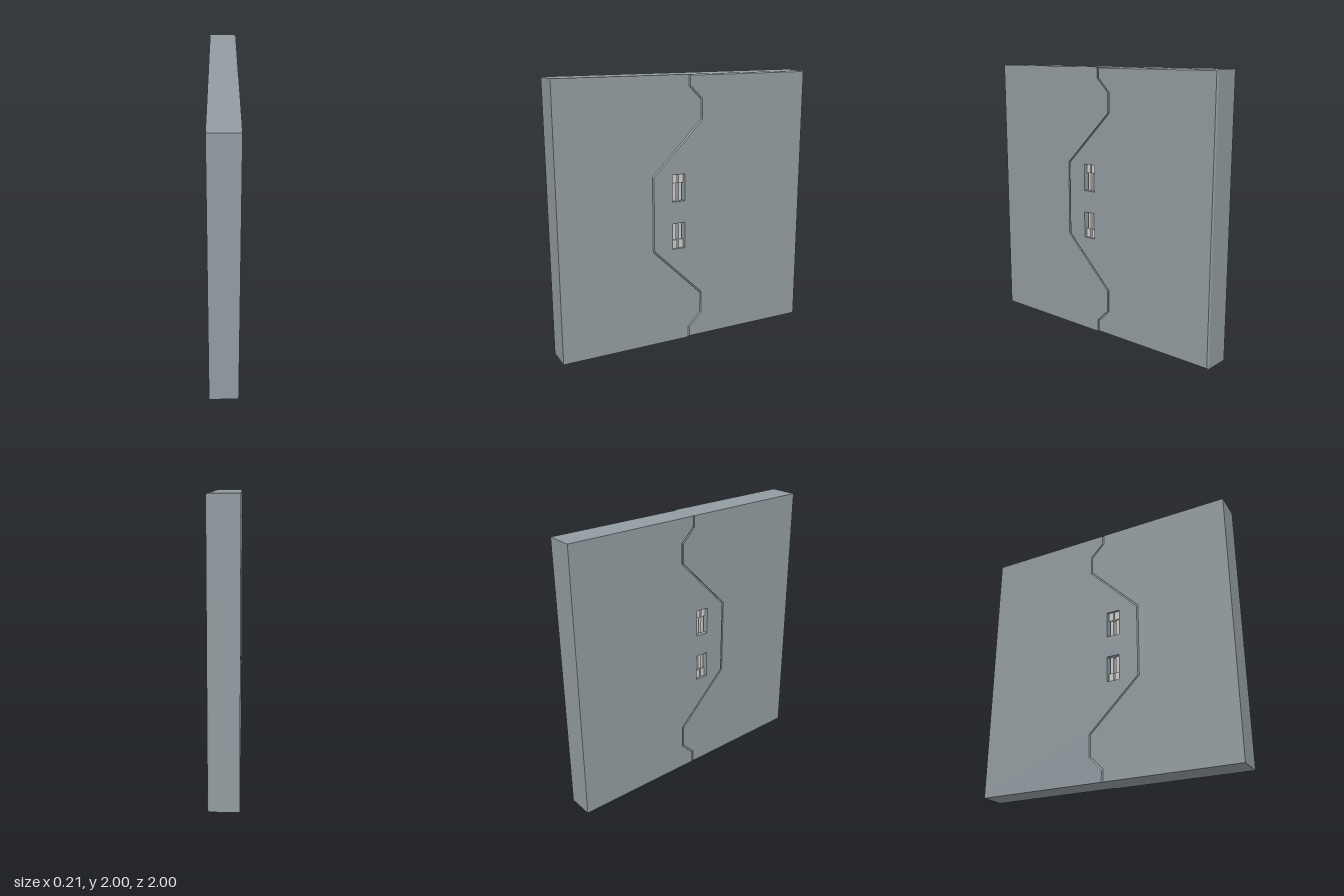
import * as THREE from 'three';
import { mergeGeometries } from 'three/addons/utils/BufferGeometryUtils.js';

const HALF = 0.103;   // half the door thickness
const BEVEL = 0.012;  // seam groove size

// Outlines use u = -z and v = y; depth becomes x after a quarter turn.
const seam = [[0, 0], [0, 0.09], [0.1, 0.19], [0.1, 0.35], [-0.29, 0.73],
  [-0.29, 1.29], [0.1, 1.68], [0.1, 1.82], [0, 1.92], [0, 2]];
const slots = [{ low: 0.73, high: 0.925, step: -1 }, { low: 1.09, high: 1.29, step: 1 }];
const SLOT_U = -0.08, SLOT_W = 0.1;

const toVectors = (list) => list.map(([u, v]) => new THREE.Vector2(u, v));

// Move each edge of a counter-clockwise outline inward by its own distance.
function inset(points, distance) {
  const n = points.length;
  const edges = points.map((p, i) => {
    const dir = points[(i + 1) % n].clone().sub(p).normalize();
    const normal = new THREE.Vector2(-dir.y, dir.x);
    return { dir, start: p.clone().addScaledVector(normal, distance(i)) };
  });
  return points.map((_, i) => {
    const a = edges[(i + n - 1) % n], b = edges[i];
    const t = b.start.clone().sub(a.start).cross(b.dir) / a.dir.cross(b.dir);
    return a.start.clone().addScaledVector(a.dir, t);
  });
}

// Flat-shaded band joining two outlines at different depths.
function band(a, da, b, db) {
  const pos = [];
  a.forEach((p, i) => {
    const j = (i + 1) % a.length;
    pos.push(p.x, p.y, da, a[j].x, a[j].y, da, b[j].x, b[j].y, db,
      p.x, p.y, da, b[j].x, b[j].y, db, b[i].x, b[i].y, db);
  });
  const g = new THREE.BufferGeometry();
  g.setAttribute('position', new THREE.Float32BufferAttribute(pos, 3));
  g.computeVertexNormals();
  return g;
}

function cap(points, holes, depth, flip) {
  const shape = new THREE.Shape(points);
  holes.forEach((h) => shape.holes.push(new THREE.Path(h)));
  let g = new THREE.ShapeGeometry(shape);
  g.deleteAttribute('uv');
  if (flip) {
    g.index.array.reverse();
    g.computeVertexNormals();
  }
  g = g.toNonIndexed();
  return g.translate(0, 0, depth);
}

// Door leaf made of stacked outlines, with holes cut straight through.
function leafGeometry(layers, holes) {
  const first = layers[0], last = layers[layers.length - 1];
  const parts = [cap(first.points, holes, first.depth, true), cap(last.points, holes, last.depth, false)];
  for (let i = 1; i < layers.length; i++) {
    const a = layers[i - 1], b = layers[i];
    parts.push(band(a.points, a.depth, b.points, b.depth));
  }
  holes.forEach((h) => parts.push(band(h, -HALF, h, HALF)));
  return mergeGeometries(parts).rotateY(Math.PI / 2);
}

export function createModel() {
  const door = new THREE.Group();
  door.name = 'slidingDoor';
  const panel = new THREE.MeshStandardMaterial({ color: 0x929ba0 });
  const grey = new THREE.MeshStandardMaterial({ color: 0xcccccc });

  const add = (parent, name, geometry, material) => {
    const mesh = new THREE.Mesh(geometry, material);
    mesh.name = name;
    parent.add(mesh);
    return mesh;
  };

  // Front leaf: plain slab up to the seam
  const front = toVectors([[-1, 2], [-1, 0], ...seam]);
  add(door, 'frontLeaf', leafGeometry(
    [{ points: front, depth: -HALF }, { points: front, depth: HALF }], []), panel);

  // Back leaf: bevelled all round on +x, only along the seam on -x
  const back = toVectors([[1, 0], [1, 2], ...seam.slice().reverse()]);
  const isSeam = (i) => i >= 2 && i < back.length - 1;
  const seamOnly = inset(back, (i) => (isSeam(i) ? BEVEL : 0));
  const allRound = inset(back, (i) => (isSeam(i) ? BEVEL : 0.008));
  const holes = slots.map(({ low, high }) => {
    const l = SLOT_U - SLOT_W / 2, r = SLOT_U + SLOT_W / 2;
    return toVectors([[l, low], [l, high], [r, high], [r, low]]);
  });
  add(door, 'backLeaf', leafGeometry([
    { points: seamOnly, depth: -HALF },
    { points: back, depth: -HALF + BEVEL },
    { points: back, depth: HALF - BEVEL },
    { points: allRound, depth: HALF },
  ], holes), panel);

  // Recessed grips: floor plate, two tall ribs and a raised block at the outer end
  slots.forEach(({ low, high, step }, k) => {
    const grip = new THREE.Group();
    grip.name = k ? 'upperGrip' : 'lowerGrip';
    const h = high - low, mid = (low + high) / 2, z = -SLOT_U;
    add(grip, 'gripFloor', new THREE.BoxGeometry(0.1, h, SLOT_W), grey).position.set(0, mid, z);
    for (const side of [-1, 1]) {
      for (const offset of [-0.024, 0.024]) {
        add(grip, 'gripRib', new THREE.BoxGeometry(0.025, h, 0.026), grey)
          .position.set(side * 0.0625, mid, z + offset);
        add(grip, 'gripEnd', new THREE.BoxGeometry(0.035, 0.065, 0.036), grey)
          .position.set(side * 0.0675, mid + step * (h / 2 - 0.0325), z + offset);
      }
    }
    door.add(grip);
  });
  return door;
}
